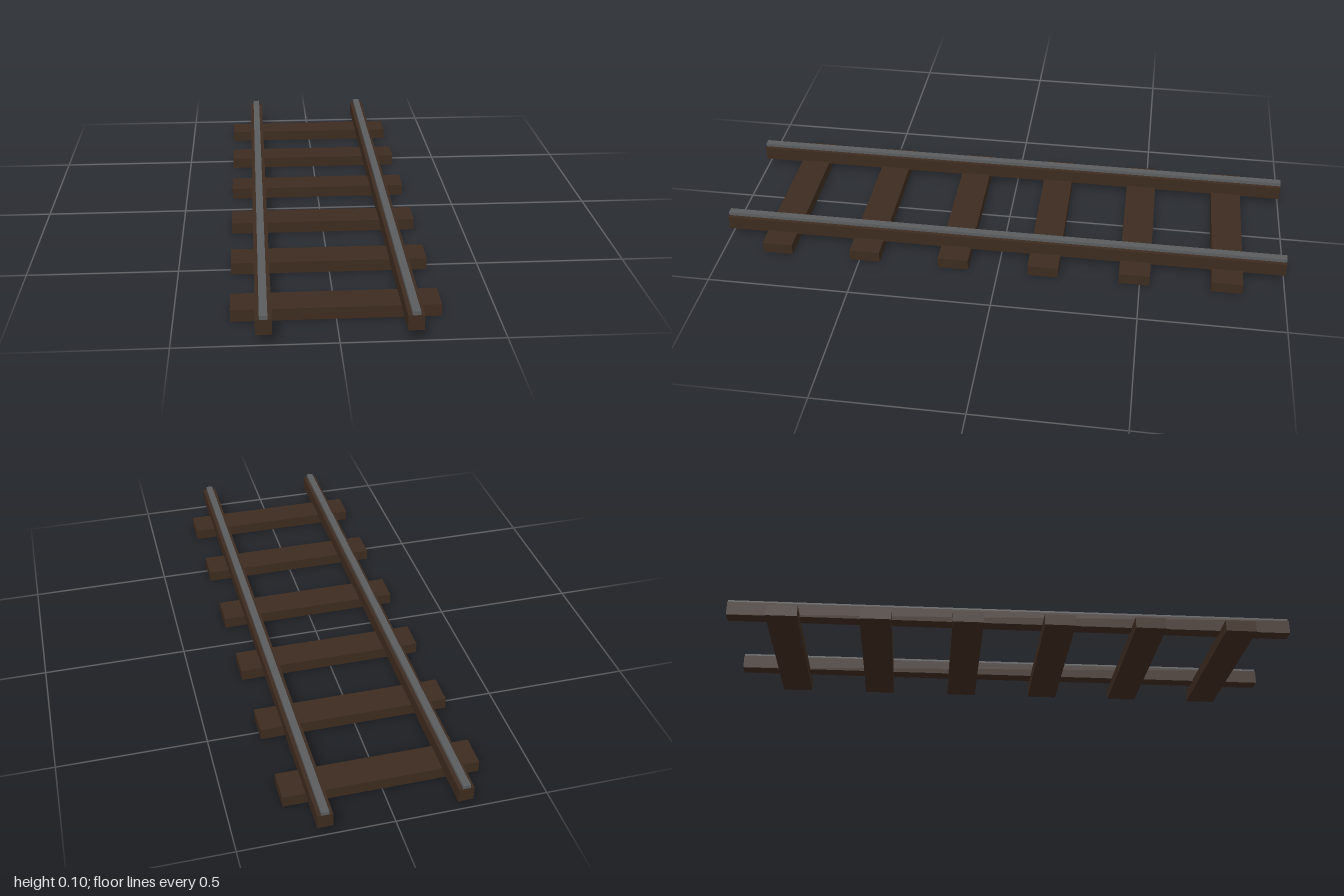
import * as THREE from 'three';

export function createModel() {
  const track = new THREE.Group();
  track.name = 'railwayTrack';

  const wood = new THREE.MeshStandardMaterial({ name: 'dark wood', color: 0x3d2b1f });
  const steel = new THREE.MeshStandardMaterial({ name: 'steel', color: 0x5a5c5e });

  // Box from its size, resting with its underside at y
  function addBox(name, material, [w, h, d], [x, y, z]) {
    const mesh = new THREE.Mesh(new THREE.BoxGeometry(w, h, d), material);
    mesh.name = name;
    mesh.position.set(x, y + h / 2, z);
    track.add(mesh);
  }

  // Six evenly spaced cross ties
  for (let i = 0; i < 6; i++) {
    addBox(`tie${i + 1}`, wood, [0.65, 0.04, 0.108], [0, 0, (i - 2.5) * 0.32]);
  }

  // Wooden rail beams sunk slightly into the ties, each with a steel running strip
  for (const [side, x] of [['left', 0.225], ['right', -0.225]]) {
    addBox(`${side}RailBeam`, wood, [0.05, 0.05, 2], [x, 0.035, 0]);
    addBox(`${side}RailStrip`, steel, [0.025, 0.0125, 2], [x, 0.085, 0]);
  }

  return track;
}
